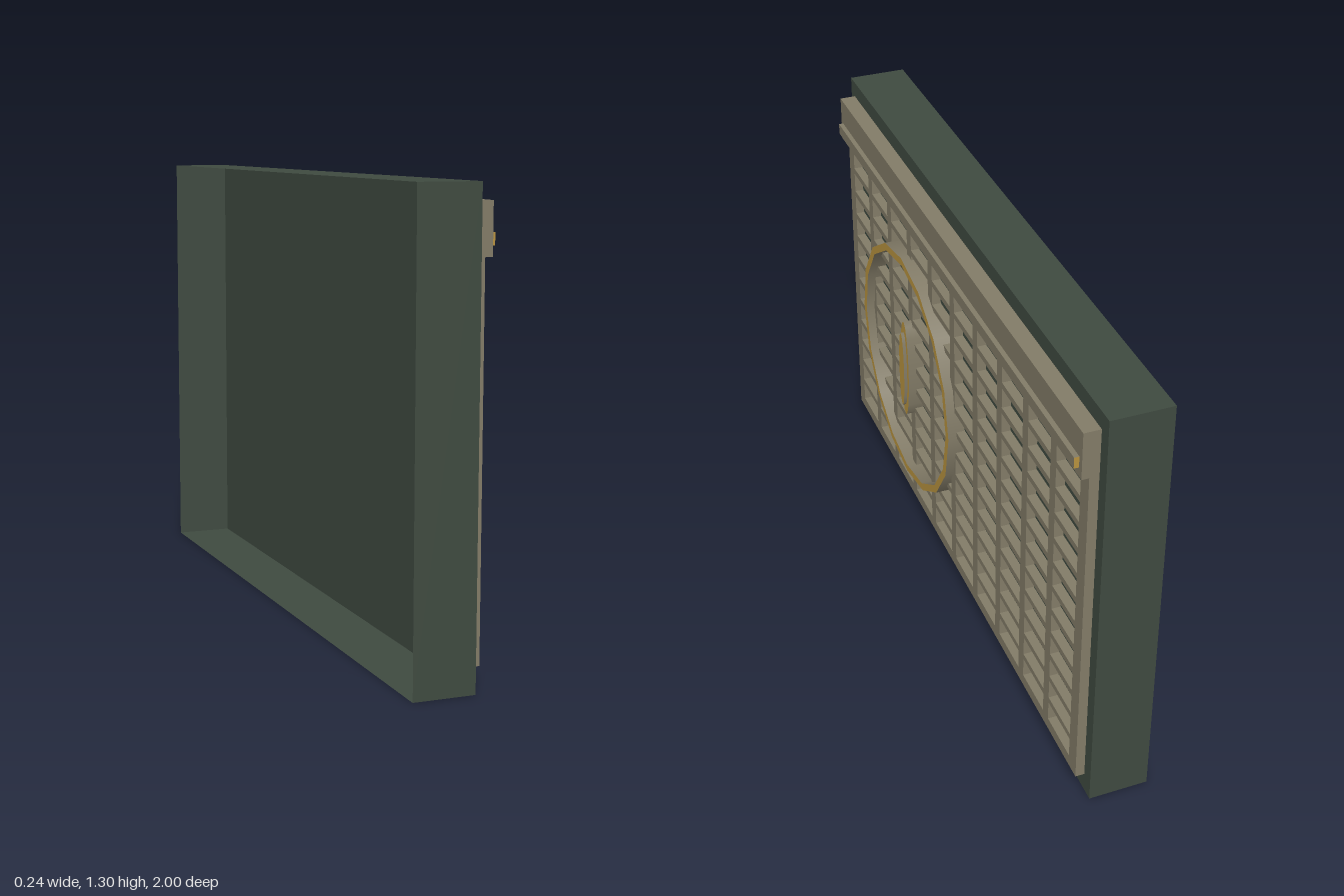
import * as THREE from 'three';

const green = new THREE.MeshStandardMaterial({ color: 0x3f4a40, side: THREE.DoubleSide });
green.name = 'dark green';
const taupe = new THREE.MeshStandardMaterial({ color: 0x827b67, side: THREE.DoubleSide });
taupe.name = 'taupe';
const gold = new THREE.MeshStandardMaterial({ color: 0xb8923f });
gold.name = 'gold';

const H = 1.296;             // overall height
const FACE = 0.055;          // x of the cabinet's face
const BACK = FACE + 0.001;   // x where the fittings start
const CY = 0.58, CZ = 0.372; // centre of the emblem

function add(parent, name, geometry, material) {
  const mesh = new THREE.Mesh(geometry, material);
  mesh.name = name;
  parent.add(mesh);
  return mesh;
}

function block(x0, x1, y0, y1, z) {
  return new THREE.BoxGeometry(x1 - x0, y1 - y0, 2 * z)
    .translate((x0 + x1) / 2, (y0 + y1) / 2, 0);
}

function rect(path, x0, x1, y0, y1) {
  path.moveTo(x0, y0);
  path.lineTo(x1, y0);
  path.lineTo(x1, y1);
  path.lineTo(x0, y1);
  path.closePath();
  return path;
}

// Elliptical drum lying along x, centred on the emblem
function drum(rz, ry, x1, open = false) {
  return new THREE.CylinderGeometry(1, 1, x1 - BACK, 16, 1, open)
    .rotateZ(-Math.PI / 2)
    .scale(1, ry, rz)
    .translate((BACK + x1) / 2, CY, CZ);
}

export function createModel() {
  const model = new THREE.Group();
  model.name = 'grillePanel';

  // Cabinet shell, open at the back (-x)
  const shell = block(-0.12, FACE, 0, H, 1);
  const index = Array.from(shell.index.array);
  index.splice(6, 6);
  shell.setIndex(index);
  shell.clearGroups();
  add(model, 'cabinetShell', shell, green);

  // Grille plate with 10 x 12 slots
  const plate = rect(new THREE.Shape(), -0.963, 0.963, 0.062, 1.246);
  for (let c = 0; c < 10; c++) {
    for (let r = 0; r < 12; r++) {
      const x = -0.84 + c * 0.1867, y = 0.131 + r * 0.0835;
      plate.holes.push(rect(new THREE.Path(), x - 0.075, x + 0.075, y - 0.032, y + 0.032));
    }
  }
  const grille = new THREE.ExtrudeGeometry(plate, { depth: 0.083 - BACK, bevelEnabled: false })
    .rotateY(Math.PI / 2).translate(BACK, 0, 0);
  add(model, 'grille', grille, taupe);

  // Header rail and its trim strip with gold ends
  add(model, 'headerRail', block(BACK, 0.104, 1.108, 1.248, 0.9635), taupe);
  add(model, 'trimStrip', block(0.104, 0.118, 1.135, 1.168, 0.947),
    [taupe, taupe, taupe, taupe, gold, gold]);

  // Emblem ring: taupe walls, gold face
  const ring = new THREE.Group();
  ring.name = 'emblemRing';
  model.add(ring);
  const R = 0.406, r = 0.382, top = 0.11;
  add(ring, 'ringOuterWall', drum(R, R, top, true), taupe);
  add(ring, 'ringInnerWall', drum(r, r, top, true), taupe);
  add(ring, 'ringFace', new THREE.RingGeometry(r, R, 16, 1)
    .rotateY(Math.PI / 2).translate(top, CY, CZ), gold);

  // Emblem centre: two stacked ellipses
  const faces = [taupe, gold, gold];
  add(model, 'emblemBase', drum(0.038, 0.177, 0.108), faces);
  add(model, 'emblemCentre', drum(0.023, 0.138, 0.118), faces);

  return model;
}
